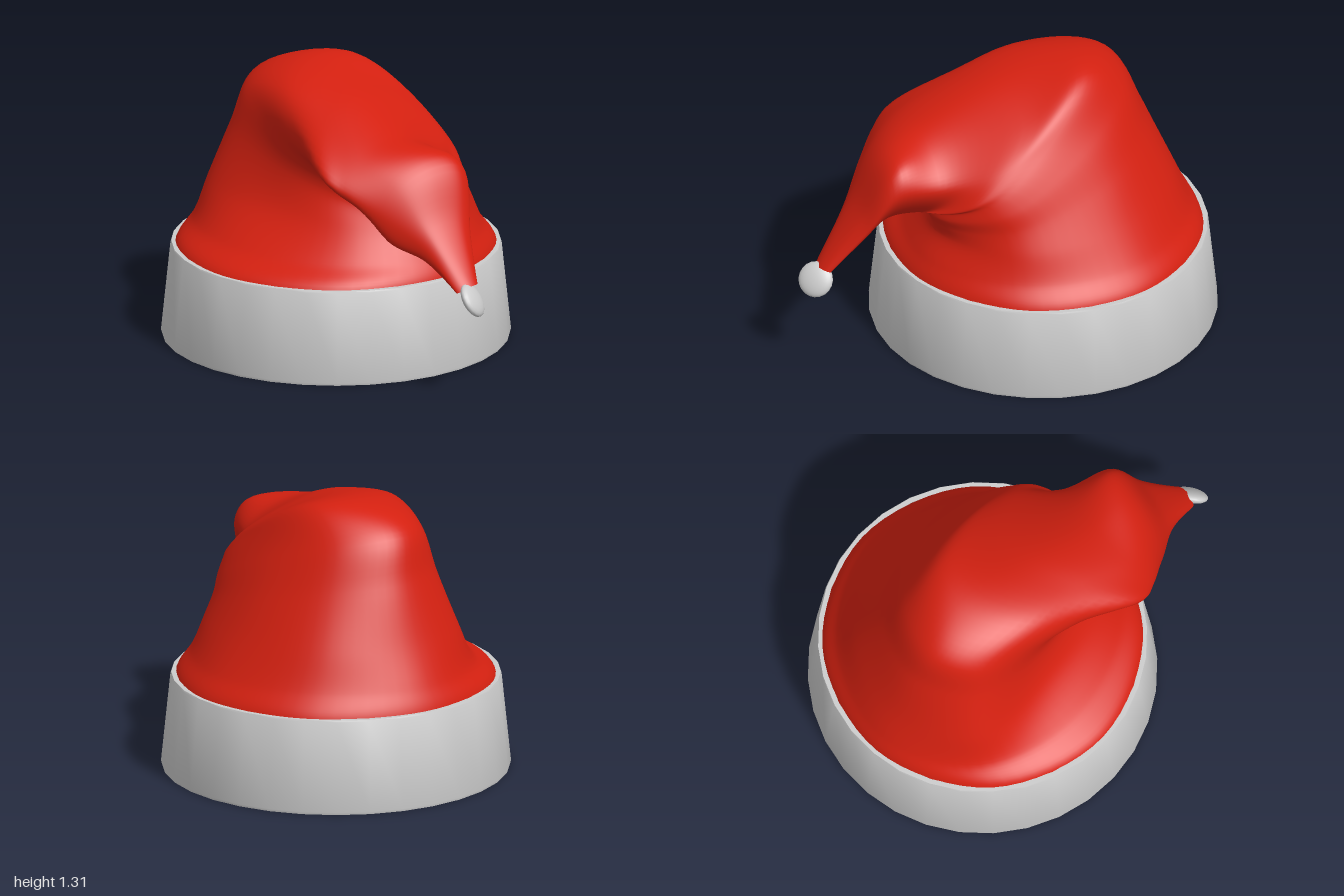
import * as THREE from 'three';
import { toCreasedNormals } from 'three/addons/utils/BufferGeometryUtils.js';

const V = (p) => new THREE.Vector3(...p);
const CENTER_X = -0.2;

// Section of eight points from four: outer side, front, inner side, back
function oval(...points) {
  const [a, f, b, k] = points.map(V);
  const mean = a.clone().add(f).add(b).add(k).multiplyScalar(0.25);
  const u = a.clone().sub(b).multiplyScalar(0.5);
  const v = f.clone().sub(k).multiplyScalar(0.5);
  const w = a.clone().add(b).sub(f).sub(k).multiplyScalar(0.25);
  return Array.from({ length: 8 }, (_, i) => {
    const t = (i * Math.PI) / 4;
    return mean.clone().addScaledVector(u, Math.cos(t)).addScaledVector(v, Math.sin(t)).addScaledVector(w, Math.cos(2 * t));
  });
}

// Horizontal circular section of the hat body
const circle = (y, r) => oval([CENTER_X - r, y, 0], [CENTER_X, y, r], [CENTER_X + r, y, 0], [CENTER_X, y, -r]);

// Sections of the bend, fanning out around a pivot on the inner side.
// Order: outer, outer front, front, inner front, inner, inner back, back, outer back.
const BEND = [
  [[-0.815, 0.71, 0], [-0.66, 0.71, 0.37], [-0.24, 0.69, 0.42], [0.21, 0.66, 0.33],
    [0.43, 0.65, 0.02], [0.27, 0.66, -0.41], [-0.2, 0.69, -0.565], [-0.65, 0.71, -0.385]],
  [[-0.715, 0.98, 0.01], [-0.58, 0.97, 0.3], [-0.22, 0.87, 0.36], [0.15, 0.78, 0.28],
    [0.44, 0.71, 0.02], [0.27, 0.76, -0.36], [-0.2, 0.87, -0.46], [-0.57, 0.95, -0.29]],
  [[-0.62, 1.2, 0.06], [-0.5, 1.15, 0.28], [-0.15, 0.98, 0.37], [0.18, 0.84, 0.28],
    [0.46, 0.755, 0.03], [0.31, 0.83, -0.31], [-0.13, 1.02, -0.37], [-0.5, 1.16, -0.21]],
  [[-0.37, 1.3, 0.05], [-0.21, 1.22, 0.33], [0.02, 1.0, 0.43], [0.25, 0.85, 0.33],
    [0.465, 0.775, 0.04], [0.34, 0.88, -0.26], [0.03, 1.08, -0.3], [-0.28, 1.28, -0.19]],
  [[0.0, 1.24, 0.1], [0.07, 1.18, 0.33], [0.27, 0.97, 0.56], [0.36, 0.84, 0.42],
    [0.475, 0.765, 0.07], [0.4, 0.87, -0.2], [0.25, 1.01, -0.24], [0.06, 1.16, -0.17]],
  [[0.35, 1.115, 0.2], [0.34, 1.06, 0.41], [0.38, 0.92, 0.53], [0.44, 0.8, 0.42],
    [0.515, 0.72, 0.2], [0.48, 0.8, 0], [0.45, 0.93, -0.08], [0.4, 1.05, 0.02]],
];

// All sections from the brim to the tip of the tail
const SECTIONS = [
  circle(0.005, 0.789),
  circle(0.3, 0.752),
  circle(0.44, 0.733),
  oval([-0.89, 0.54, 0], [-0.22, 0.53, 0.59], [0.49, 0.53, 0], [-0.2, 0.54, -0.66]),
  ...BEND.map((section) => section.map(V)),
  oval([0.59, 1.04, 0.21], [0.53, 0.83, 0.45], [0.585, 0.67, 0.28], [0.65, 0.92, 0.01]),
  oval([0.73, 0.79, 0.25], [0.7, 0.7, 0.36], [0.72, 0.61, 0.28], [0.77, 0.72, 0.11]),
  oval([0.92, 0.535, 0.26], [0.89, 0.51, 0.32], [0.87, 0.52, 0.27], [0.9, 0.53, 0.2]),
];

// Skin of the hat, lofted along eight guide curves
function clothGeometry(rows = 96, cols = 64) {
  const guides = SECTIONS[0].map((_, i) => new THREE.CatmullRomCurve3(SECTIONS.map((s) => s[i])));
  const pos = [], index = [];
  for (let r = 0; r <= rows; r++) {
    const loop = new THREE.CatmullRomCurve3(guides.map((g) => g.getPoint(r / rows)), true);
    for (let c = 0; c < cols; c++) {
      pos.push(...loop.getPoint(c / cols).toArray());
      if (r === rows) continue;
      const a = r * cols + c, b = r * cols + ((c + 1) % cols);
      index.push(a, b, a + cols, b, b + cols, a + cols);
    }
  }
  const g = new THREE.BufferGeometry();
  g.setAttribute('position', new THREE.Float32BufferAttribute(pos, 3));
  g.setIndex(index);
  g.computeVertexNormals();
  return g;
}

export function createModel() {
  const group = new THREE.Group();
  group.name = 'floppyHat';
  const red = new THREE.MeshStandardMaterial({ color: 0xd42010, side: THREE.DoubleSide });
  const grey = new THREE.MeshStandardMaterial({ color: 0xcccccc, side: THREE.DoubleSide });
  const add = (name, geometry, material) => {
    const mesh = new THREE.Mesh(geometry, material);
    mesh.name = name;
    group.add(mesh);
    return mesh;
  };

  // Cloth cone with its folded-over tail
  add('cloth', clothGeometry(), red);

  // Brim band with a thin lip at the top
  const profile = [[0.787, 0], [0.797, 0], [0.8, 0.012], [0.757, 0.43], [0.753, 0.438], [0.73, 0.438]];
  const band = new THREE.LatheGeometry(profile.map((p) => new THREE.Vector2(...p)), 32);
  add('brimBand', toCreasedNormals(band, 0.7), grey).position.x = CENTER_X;

  // Flattened pompom on the tip of the tail, lying in a tilted plane
  const pompom = add('pompom', new THREE.SphereGeometry(1, 20, 14), grey);
  pompom.scale.set(0.083, 0.032, 0.083);
  pompom.position.set(0.935, 0.475, 0.265);
  pompom.quaternion.setFromUnitVectors(V([0, 1, 0]), V([1, 0.7, -0.53]).normalize());

  return group;
}
